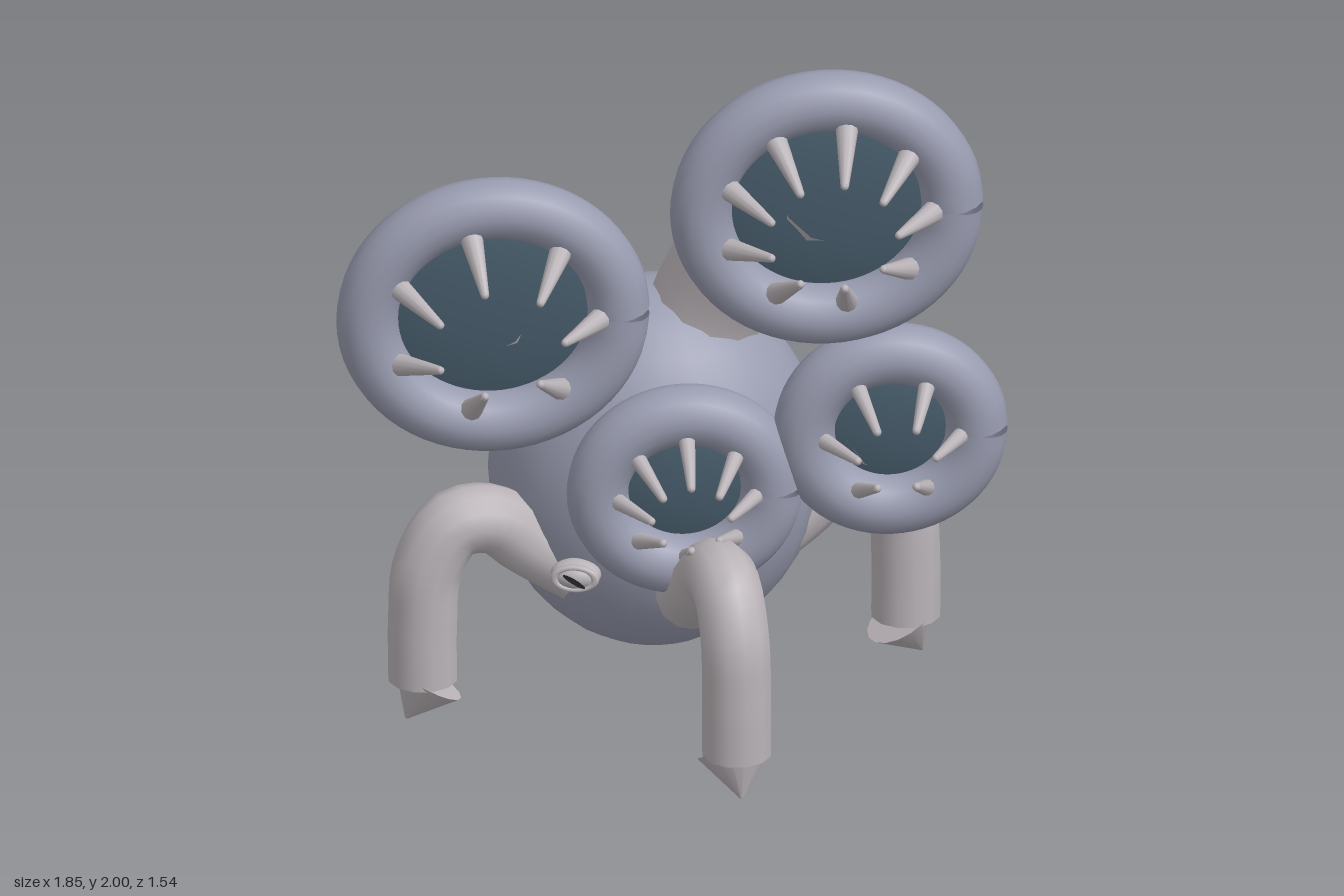
import * as THREE from 'three';

const mat = (name, color, side = THREE.FrontSide) => {
  const m = new THREE.MeshStandardMaterial({ color, side });
  m.name = name;
  return m;
};
const V = (x, y, z) => new THREE.Vector3(x, y, z);

export function createModel() {
  const root = new THREE.Group();
  root.name = 'creature';
  const skin = mat('blueGreySkin', 0x999cb0, THREE.DoubleSide);
  const pale = mat('paleLimb', 0xbab4b8, THREE.DoubleSide);
  const dark = mat('darkSlateMouth', 0x465b6a);
  const black = mat('pupilBlack', 0x24262a);

  const add = (parent, name, geo, material, pos) => {
    const m = new THREE.Mesh(geo, material);
    m.name = name;
    if (pos) m.position.copy(pos);
    parent.add(m);
    return m;
  };
  const tube = (pts, r, seg, sides) =>
    new THREE.TubeGeometry(new THREE.CatmullRomCurve3(pts), seg, r, sides);
  // Tapered cylinder running from point a to point b
  const taper = (parent, name, a, b, ra, rb, sides) => {
    const d = b.clone().sub(a);
    const m = add(parent, name, new THREE.CylinderGeometry(rb, ra, d.length(), sides), pale,
      a.clone().add(b).multiplyScalar(0.5));
    m.quaternion.setFromUnitVectors(V(0, 1, 0), d.normalize());
    return m;
  };

  // Egg-shaped body
  const body = add(root, 'body', new THREE.SphereGeometry(1, 24, 18), skin, V(-0.015, 0.64, -0.105));
  body.scale.set(0.46, 0.54, 0.38);

  // Sucker heads: ring lip, lens-shaped mouth, circle of teeth, and a neck
  const heads = [
    { name: 'upperLeftHead', c: [0.42, 1.587], rx: 0.346, ry: 0.324, teeth: 9,
      neck: [V(0.04, 0.85, -0.1), V(0.14, 1.14, -0.09), V(0.28, 1.42, 0.02), V(0.42, 1.59, 0.18)] },
    { name: 'upperRightHead', c: [-0.497, 1.30], rx: 0.346, ry: 0.324, teeth: 7,
      neck: [V(-0.13, 0.85, -0.1), V(-0.3, 1.06, -0.04), V(-0.497, 1.29, 0.17)] },
    { name: 'lowerLeftHead', c: [0.595, 0.902], rx: 0.238, ry: 0.229, teeth: 6,
      neck: [V(0.2, 0.66, -0.15), V(0.42, 0.76, -0.03), V(0.595, 0.89, 0.18)] },
    { name: 'lowerMiddleHead', c: [0.03, 0.743], rx: 0.24, ry: 0.226, teeth: 8,
      neck: [V(0, 0.68, -0.1), V(0.02, 0.72, 0.05), V(0.03, 0.74, 0.18)] },
  ];
  const tubeR = 0.085;
  for (const h of heads) {
    const head = new THREE.Group();
    head.name = h.name;
    head.position.set(h.c[0], h.c[1], 0.295);
    root.add(head);

    // Lip is an unclosed loop, leaving a small notch at its outer side
    const loop = [];
    for (let i = 0; i <= 24; i++) {
      const a = (i / 24) * Math.PI * 2;
      loop.push(V(h.rx * Math.cos(a), h.ry * Math.sin(a), 0));
    }
    add(head, 'lip', tube(loop, tubeR, 64, 16), skin);

    const mouth = add(head, 'mouth', new THREE.SphereGeometry(1, 32, 16), dark, V(0, 0, -0.07));
    mouth.scale.set(h.rx + 0.015, h.ry + 0.015, 0.078);

    const big = h.teeth % 2 === 1;
    const inset = big ? 0.055 : 0.045, reach = big ? 0.165 : 0.13;
    for (let i = 0; i < h.teeth; i++) {
      const a = (i / h.teeth) * Math.PI * 2;
      const at = (d, z) => V((h.rx - d) * Math.cos(a), (h.ry - d) * Math.sin(a), z);
      const base = at(inset, 0.055), tip = at(reach, 0.195);
      taper(head, 'tooth', base, tip, big ? 0.032 : 0.024, 0.012, 10);
      add(head, 'toothTip', new THREE.SphereGeometry(0.012, 8, 6), pale, tip);
    }
    add(root, 'neck', tube(h.neck, 0.165, 16, 12), pale);
  }

  // Four arched legs with tilted pointed feet, set a little off the axes
  for (let i = 0; i < 4; i++) {
    const leg = new THREE.Group();
    leg.name = 'leg';
    leg.rotation.y = (i * Math.PI) / 2 + 0.2;
    root.add(leg);
    const path = [[0.39, 0.245], [0.49, 0.385], [0.575, 0.49], [0.575, 0.6],
      [0.46, 0.675], [0.3, 0.69], [0.12, 0.69]].map(([y, z]) => V(0, y, z));
    add(leg, 'shank', tube(path, 0.097, 28, 12), pale);
    taper(leg, 'foot', V(0, 0.11, 0.675), V(0, 0.002, 0.737), 0.104, 0.004, 16);
  }

  // Single eye low on the front
  const eye = new THREE.Group();
  eye.name = 'eye';
  eye.position.set(-0.262, 0.456, 0.215);
  eye.rotation.y = -0.2;
  root.add(eye);
  add(eye, 'eyeball', new THREE.SphereGeometry(1, 20, 12), pale).scale.set(0.07, 0.042, 0.05);
  add(eye, 'eyelid', new THREE.TorusGeometry(0.056, 0.012, 8, 24), pale, V(0, 0, 0.03)).scale.y = 0.6;
  const pupil = add(eye, 'pupil', new THREE.CircleGeometry(1, 16), black, V(0, 0, 0.052));
  pupil.scale.set(0.036, 0.008, 1);
  pupil.rotation.z = -0.55;

  return root;
}
